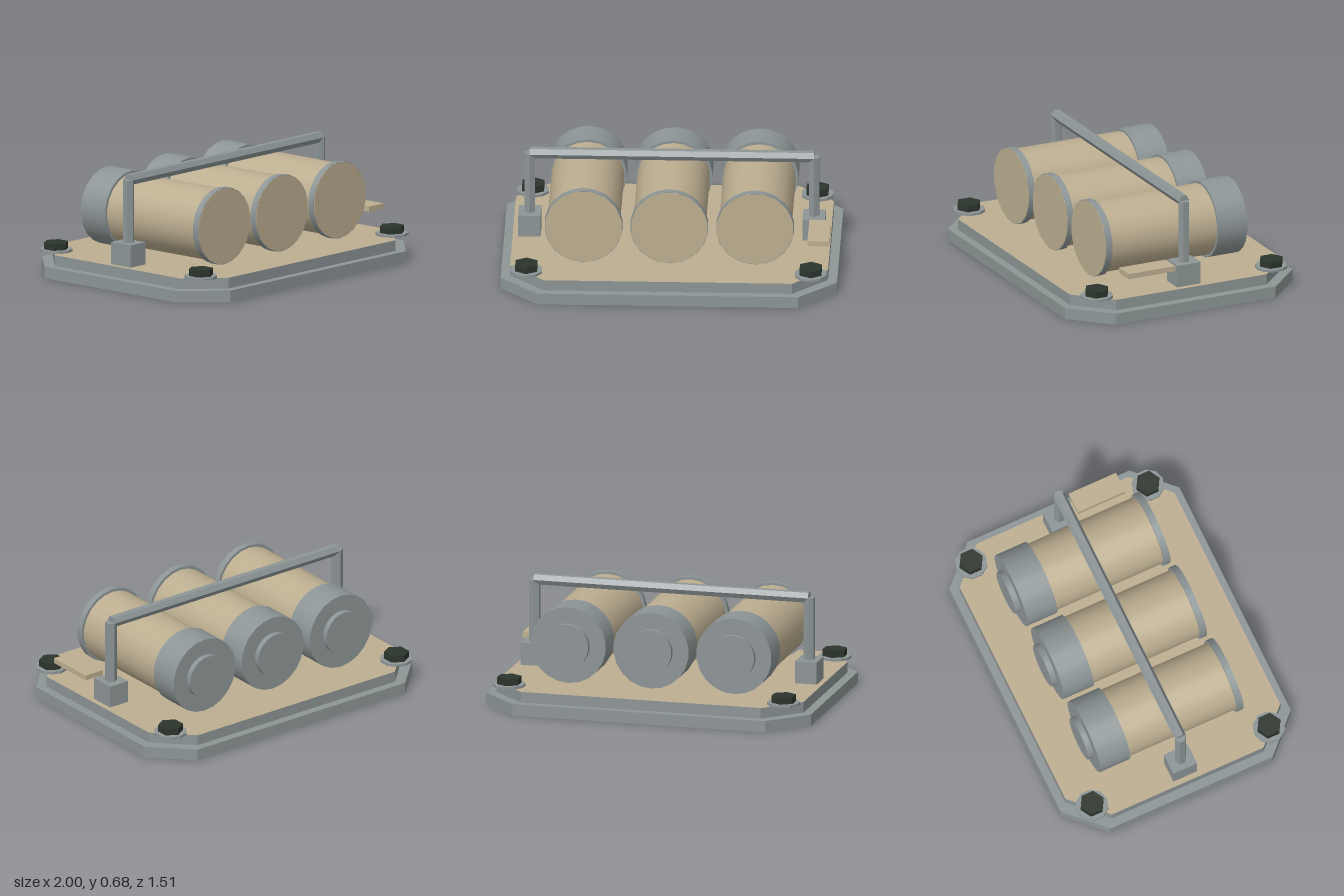
import * as THREE from 'three';

const material = (name, color) => {
  const m = new THREE.MeshStandardMaterial({ color });
  m.name = name;
  return m;
};

export function createModel() {
  const model = new THREE.Group();
  model.name = 'canisterPlate';
  const grey = material('steel grey', 0x8d9596);
  const tan = material('sand tan', 0xbcae90);
  const dark = material('dark bolt', 0x2c352d);

  const add = (parent, name, geometry, mat, x = 0, y = 0, z = 0) => {
    const mesh = new THREE.Mesh(geometry, mat);
    mesh.name = name;
    mesh.position.set(x, y, z);
    parent.add(mesh);
    return mesh;
  };
  const group = (name, x = 0, y = 0, z = 0) => {
    const g = new THREE.Group();
    g.name = name;
    g.position.set(x, y, z);
    model.add(g);
    return g;
  };
  // Upright faceted cylinder
  const prism = (r, h, sides) => {
    const g = new THREE.CylinderGeometry(r, r, h, sides).toNonIndexed();
    g.computeVertexNormals();
    return g;
  };
  // Smooth cylinder lying along z, from z0 to z1
  const drum = (r, z0, z1, sides = 22, turn = 0) =>
    new THREE.CylinderGeometry(r, r, z1 - z0, sides, 1, false, turn)
      .rotateX(Math.PI / 2).translate(0, 0, (z0 + z1) / 2);
  // Slab with cut corners, standing on y = 0
  const slab = (w, d, cut, h) => {
    const shape = new THREE.Shape([
      [w, d - cut], [w - cut, d], [cut - w, d], [-w, d - cut],
      [-w, cut - d], [cut - w, -d], [w - cut, -d], [w, cut - d],
    ].map(([x, y]) => new THREE.Vector2(x, y)));
    return new THREE.ExtrudeGeometry(shape, { depth: h, bevelEnabled: false }).rotateX(-Math.PI / 2);
  };

  // Two-step base, tan on top
  add(model, 'basePlate', slab(1, 0.755, 0.223, 0.07), grey);
  add(model, 'upperPlate', slab(0.945, 0.705, 0.207, 0.065), [tan, grey], 0, 0.07, 0);

  // Three canisters
  for (const x of [-0.51, 0, 0.51]) {
    const can = group('canister', x, 0.38, 0);
    add(can, 'body', drum(0.216, -0.29, 0.43), tan);
    add(can, 'frontRim', drum(0.232, 0.422, 0.463), grey);
    add(can, 'frontDisc', drum(0.23, 0.46, 0.466, 16, Math.PI / 16), tan);
    add(can, 'rearCap', drum(0.232, -0.475, -0.28), grey);
    add(can, 'rearStub', drum(0.134, -0.51, -0.47), grey);
  }

  // Bolts with washers at the corners
  for (const x of [-0.845, 0.845]) {
    for (const z of [-0.58, 0.58]) {
      const bolt = group('bolt', x, 0, z);
      add(bolt, 'washer', prism(0.098, 0.015, 10), grey, 0, 0.1425, 0);
      add(bolt, 'boltHead', prism(0.075, 0.042, 6), dark, 0, 0.17, 0);
    }
  }

  // Carrying handle on two square feet
  const handle = group('handle');
  for (const x of [-0.845, 0.845]) {
    add(handle, 'handleFoot', new THREE.BoxGeometry(0.134, 0.137, 0.156), grey, x, 0.2015, 0);
    add(handle, 'handlePost', prism(0.035, 0.39, 6), grey, x, 0.453, 0);
  }
  add(handle, 'handleBar', prism(0.035, 1.69, 6).rotateZ(Math.PI / 2), grey, 0, 0.648, 0);

  // Small lever beside the left foot
  add(model, 'lever', new THREE.BoxGeometry(0.13, 0.032, 0.31), tan, 0.885, 0.27, 0.265);

  return model;
}
